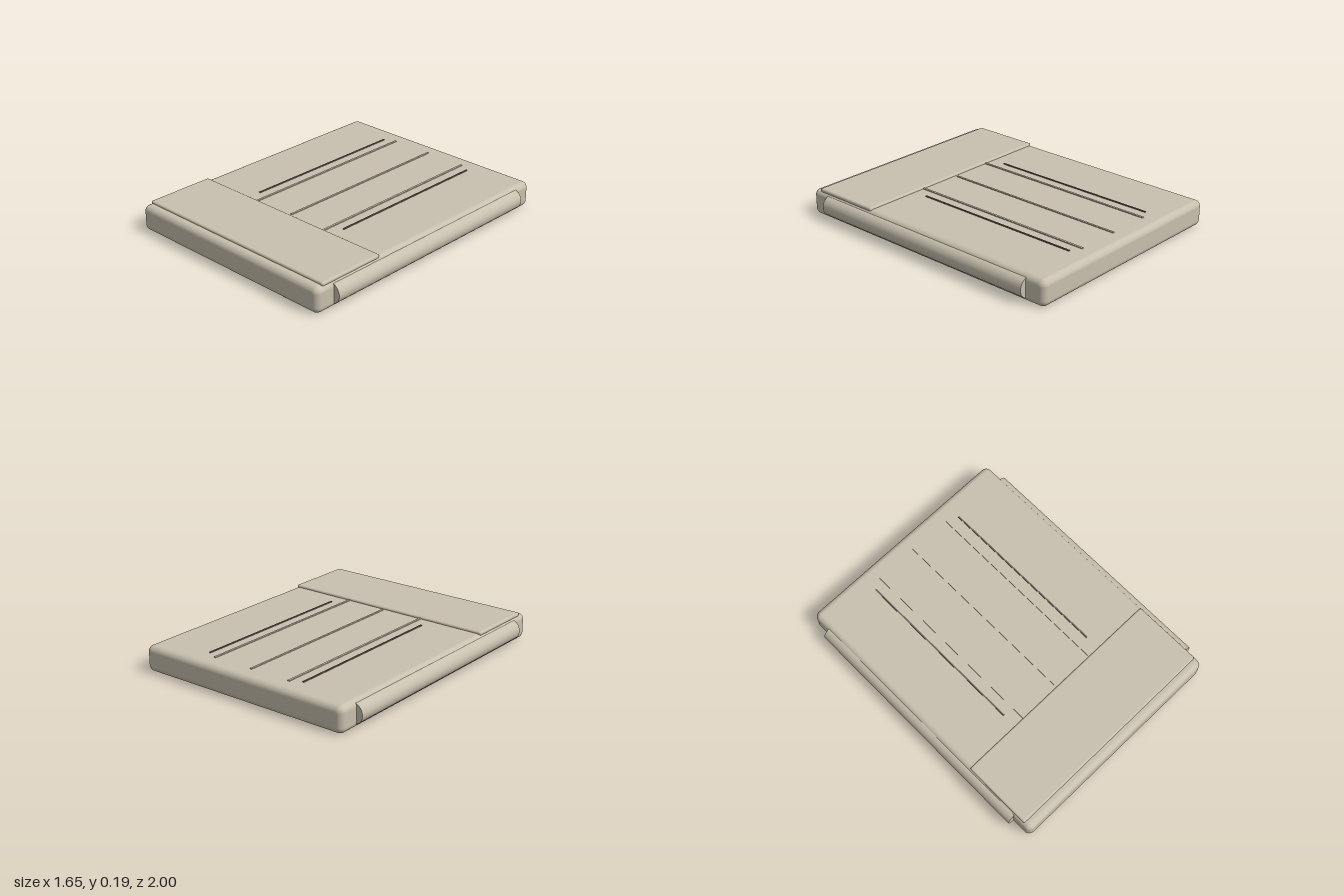
import * as THREE from 'three';
import { RoundedBoxGeometry } from 'three/addons/geometries/RoundedBoxGeometry.js';

export function createModel() {
  const model = new THREE.Group();
  model.name = 'flatPanel';

  const shell = new THREE.MeshStandardMaterial({ color: 0xc8c0ae });
  shell.name = 'warm grey shell';
  const groove = new THREE.MeshStandardMaterial({ color: 0x6a665a });
  groove.name = 'dark seam';

  function add(name, geometry, material, x, y, z) {
    const mesh = new THREE.Mesh(geometry, material);
    mesh.name = name;
    mesh.position.set(x, y, z);
    model.add(mesh);
    return mesh;
  }

  // Main slab with softened edges
  add('body', new RoundedBoxGeometry(1.566, 0.175, 2, 6, 0.042), shell, 0, 0.0875, 0);

  // Raised plate across the front end
  add('frontPlate', new RoundedBoxGeometry(1.54, 0.028, 0.482, 4, 0.013), shell, 0, 0.176, 0.7);

  // Thin strip lying on the top surface, from z0 to z1
  function strip(name, x, width, z0, z1, material) {
    const geometry = new THREE.BoxGeometry(width, 0.008, z1 - z0);
    add(name, geometry, material, x, 0.177, (z0 + z1) / 2);
  }
  strip('centreRib', 0, 0.013, -0.885, 0.437, shell);

  // Mirrored rolls, ribs and seams
  for (const side of [-1, 1]) {
    const label = side > 0 ? 'left' : 'right';
    const roll = add(label + 'SideRoll', new THREE.CylinderGeometry(0.069, 0.069, 1.72, 40),
      shell, side * 0.756, 0.091, 0);
    roll.rotation.x = Math.PI / 2;
    strip(label + 'Rib', side * 0.297, 0.014, -0.885, 0.465, shell);
    strip(label + 'Seam', side * 0.376, 0.01, -0.845, 0.358, groove);
  }
  return model;
}
